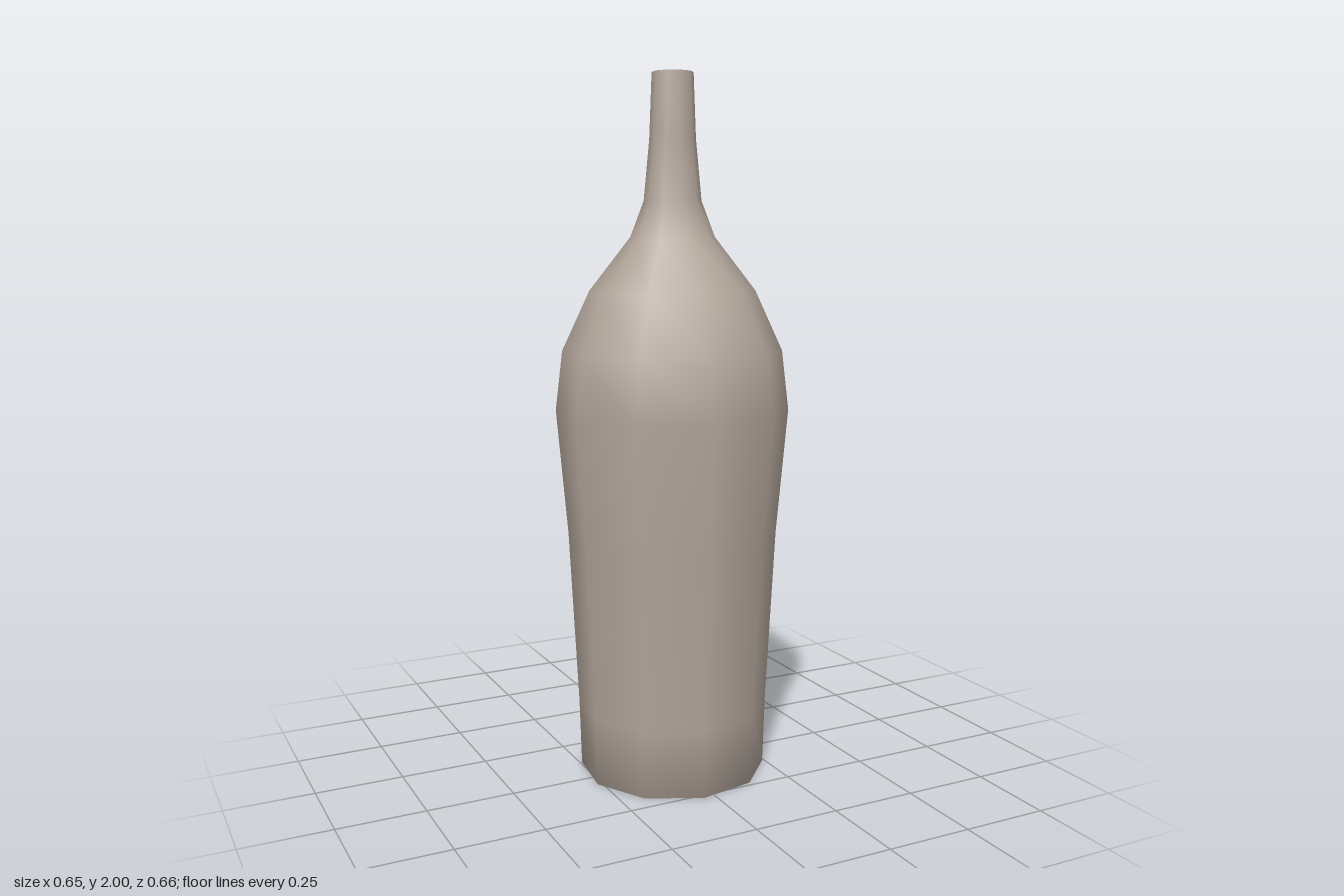
import * as THREE from 'three';

const SIDES = 10;
const TURN = -0.122; // rotation of the ten-sided section

export function createModel() {
  const group = new THREE.Group();
  group.name = 'bottle';
  const clay = new THREE.MeshStandardMaterial({ color: 0xb3a69b });
  clay.name = 'warm grey clay';

  // Outer wall, foot to lip, as [radius, height]
  const outer = [
    [0.269, 0], [0.275, 0.2], [0.301, 0.7], [0.333, 1.06], [0.313, 1.23],
    [0.235, 1.4], [0.119, 1.55], [0.081, 1.65], [0.065, 1.82], [0.058, 2],
  ];
  // Inner wall, lip to foot
  const innerTop = [[0.045, 2], [0.048, 1.82], [0.058, 1.65], [0.09, 1.54], [0.2, 1.38], [0.265, 1.22]];
  const innerBottom = [[0.265, 1.22], [0.28, 1.06], [0.25, 0.7], [0.215, 0.2], [0.19, 0.01]];

  // One closed hollow loop, starting and ending inside the shoulder
  const profile = [...innerBottom, ...outer, ...innerTop].map(([r, y]) => new THREE.Vector2(r, y));
  const geometry = new THREE.LatheGeometry(profile, SIDES, TURN, Math.PI * 2);

  // The neck sits slightly off centre
  const pos = geometry.attributes.position;
  for (let i = 0; i < pos.count; i++) {
    const k = THREE.MathUtils.smoothstep(pos.getY(i), 1.2, 1.55);
    pos.setX(i, pos.getX(i) + 0.003 * k);
    pos.setZ(i, pos.getZ(i) - 0.004 * k);
  }

  const body = new THREE.Mesh(geometry, clay);
  body.name = 'bottleBody';
  group.add(body);
  return group;
}
